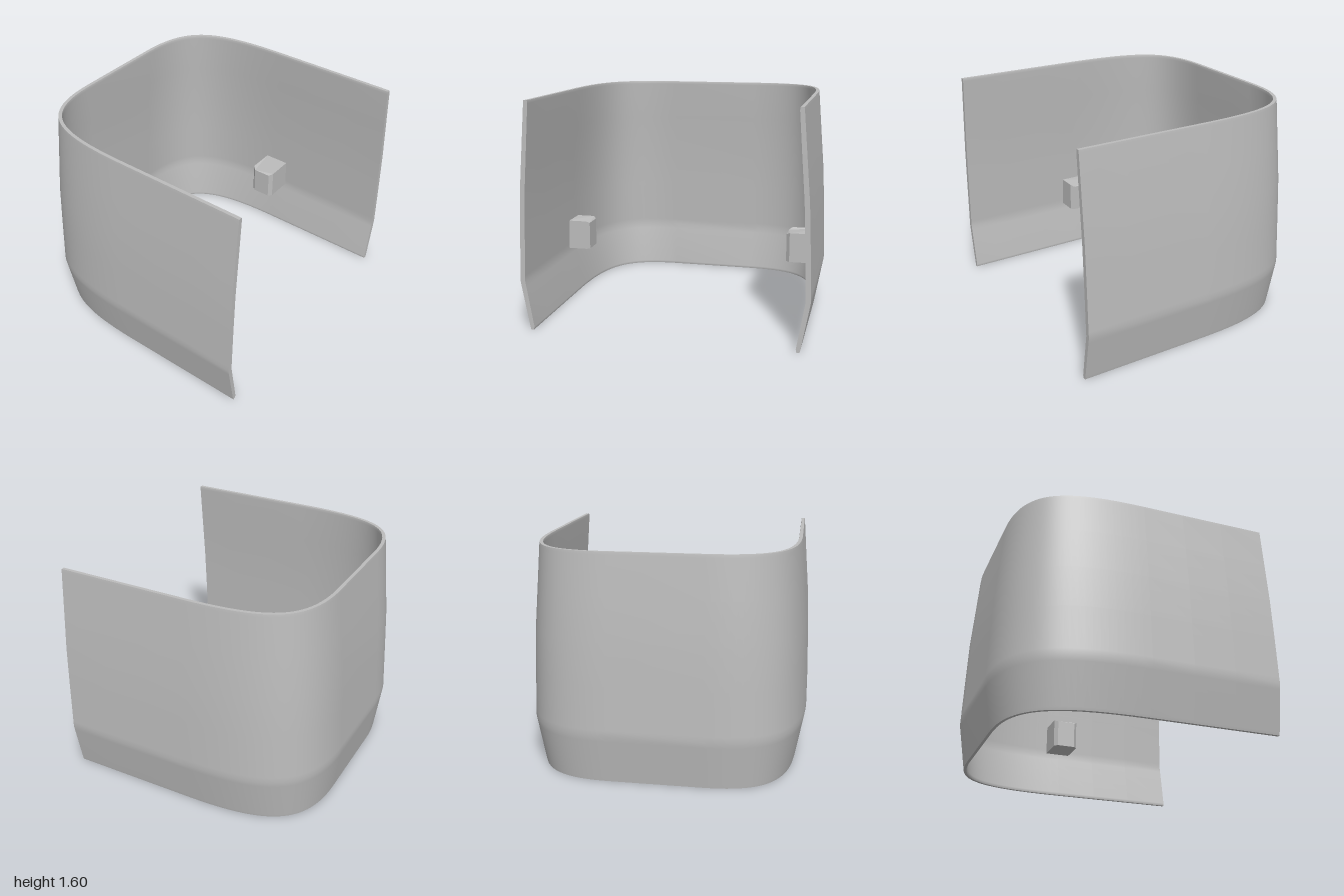
import * as THREE from 'three';

const grey = new THREE.MeshStandardMaterial({ color: 0xbcbcbc });
grey.name = 'plain grey';

// Surface skinned through rows of points; the normal is (next row) x (next point)
function skin(rows) {
  const n = rows[0].length, index = [];
  for (let i = 0; i < rows.length - 1; i++) {
    for (let j = 0; j < n - 1; j++) {
      const a = i * n + j, b = a + n;
      index.push(a, b, b + 1, a, b + 1, a + 1);
    }
  }
  const g = new THREE.BufferGeometry();
  g.setAttribute('position', new THREE.Float32BufferAttribute(rows.flat(2), 3));
  g.setIndex(index);
  g.computeVertexNormals();
  return g;
}

// Plan of the U-shaped wall: straight side, soft corner, flat end; then mirrored in z
function planPoints() {
  const corner = new THREE.CubicBezierCurve(
    new THREE.Vector2(0, 1), new THREE.Vector2(-0.6, 1),
    new THREE.Vector2(-0.935, 0.9), new THREE.Vector2(-0.935, 0.33));
  const half = [0.93, 0.6, 0.3].map((x) => ({ x, z: 1, nx: 0, nz: 1 }));
  for (let i = 0; i <= 28; i++) {
    const p = corner.getPoint(i / 28), t = corner.getTangent(i / 28);
    half.push({ x: p.x, z: p.y, nx: t.y, nz: -t.x });
  }
  const mirrored = half.map((p) => ({ ...p, z: -p.z, nz: -p.nz })).reverse();
  return [...half, ...mirrored];
}

// Wall profile: height, inset of the flat end, inset of the sides, thickness
const profile = [
  [0, 0.05, 0.065, 0.02],
  [0.02, 0.047, 0.06, 0.03],
  [0.31, 0.006, 0.007, 0.034],
  [0.35, 0, 0, 0.034],
  [0.39, 0.002, 0.002, 0.034],
  [0.7, 0.016, 0.012, 0.034],
  [1.0, 0.03, 0.025, 0.034],
  [1.3, 0.057, 0.05, 0.032],
  [1.58, 0.082, 0.073, 0.03],
  [1.6, 0.085, 0.076, 0.024],
];

function wall() {
  const plan = planPoints();
  const ring = ([y, dx, dz], t) =>
    plan.map((p) => [p.x - p.nx * (dx + t), y, p.z - p.nz * (dz + t)]);
  const outer = profile.map((r) => ring(r, 0));
  const inner = profile.map((r) => ring(r, r[3]));
  const top = profile.length - 1, last = plan.length - 1;
  const column = (rows, j) => rows.map((r) => r[j]);
  const parts = {
    wallOutside: outer,
    wallInside: [...inner].reverse(),
    topRim: [outer[top], inner[top]],
    bottomRim: [inner[0], outer[0]],
    frontEndEdge: [column(outer, 0), column(inner, 0)],
    backEndEdge: [column(inner, last), column(outer, last)],
  };
  const group = new THREE.Group();
  group.name = 'curvedWall';
  for (const [name, rows] of Object.entries(parts)) {
    const mesh = new THREE.Mesh(skin(rows), grey);
    mesh.name = name;
    group.add(mesh);
  }
  return group;
}

// Block on the inside of a side wall, chamfered at its free end
function block(name, side, tip, chamfer) {
  const root = 0.975;
  const plan = [[-0.1, root], [-0.1, tip + chamfer], [-0.1 + chamfer, tip],
    [0.09 - chamfer, tip], [0.09, tip + chamfer], [0.09, root]];
  const shape = new THREE.Shape(plan.map(([x, z]) => new THREE.Vector2(x, -z * side)));
  const g = new THREE.ExtrudeGeometry(shape, { depth: 0.22, bevelEnabled: false });
  g.rotateX(-Math.PI / 2).translate(0, 0.36, 0);
  // the upper edge drops slightly at the tip
  const pos = g.attributes.position;
  for (let i = 0; i < pos.count; i++) {
    if (pos.getY(i) > 0.5 && Math.abs(pos.getZ(i)) < tip + 0.005) pos.setY(i, 0.565);
  }
  g.computeVertexNormals();
  const mesh = new THREE.Mesh(g, grey);
  mesh.name = name;
  return mesh;
}

export function createModel() {
  const model = new THREE.Group();
  model.name = 'curvedShell';
  model.add(wall(), block('frontBlock', 1, 0.8, 0.022), block('backBlock', -1, 0.735, 0.026));
  return model;
}
